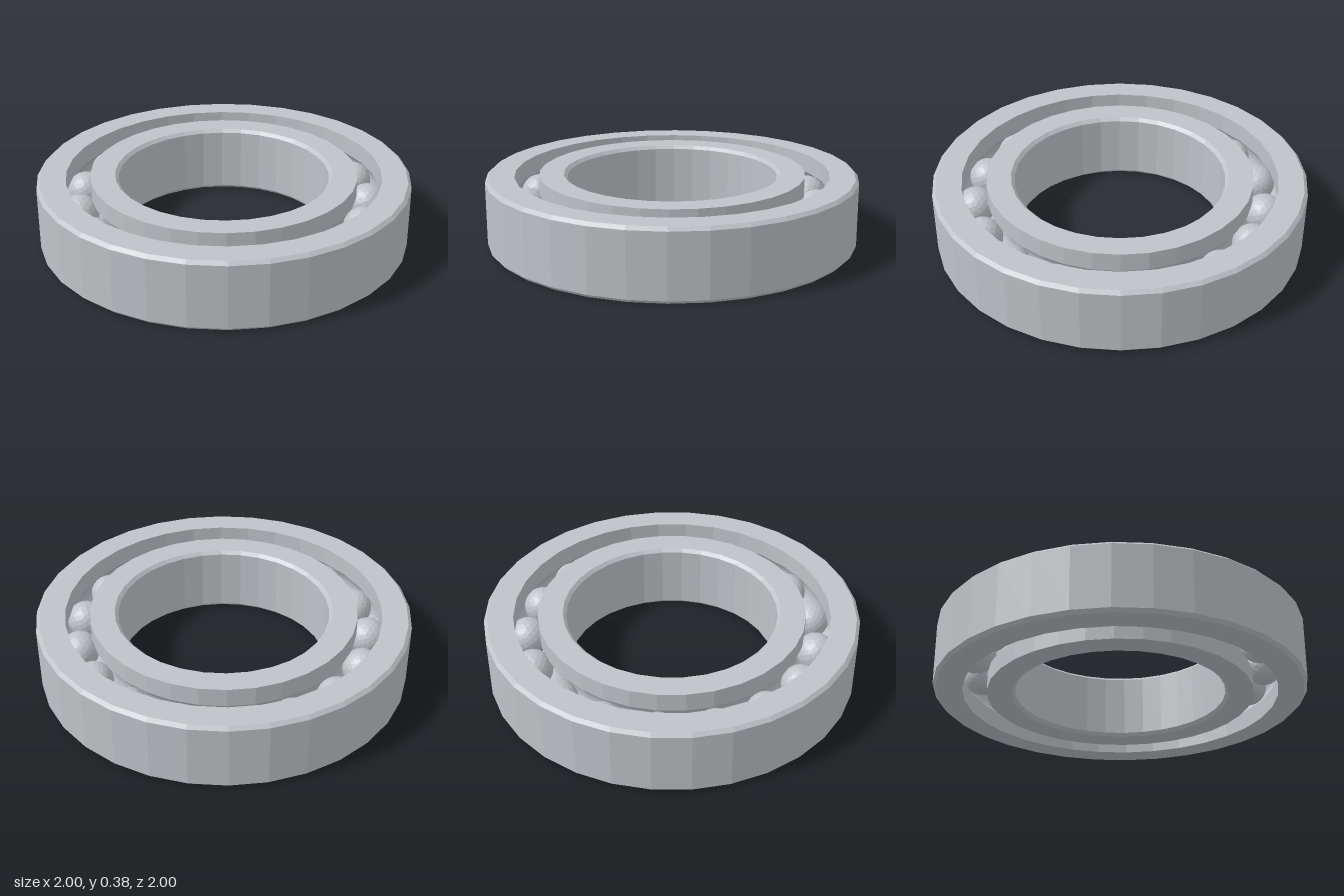
import * as THREE from 'three';

const HEIGHT = 0.375, MID = HEIGHT / 2, CHAMFER = 0.018;
const PITCH = 0.78, GROOVE = 0.108, BALL = 0.104, BALLS = 17, SIDES = 32;

// Gives every facet its own flat normal
function faceted(geometry) {
  const flat = geometry.index ? geometry.toNonIndexed() : geometry;
  flat.computeVertexNormals();
  return flat;
}

// Circular raceway profile between two angles around the ball centre
function raceway(from, to, steps = 8) {
  return Array.from({ length: steps + 1 }, (_, i) => {
    const t = from + (to - from) * i / steps;
    return [PITCH + GROOVE * Math.cos(t), MID + GROOVE * Math.sin(t)];
  });
}

// Closed ring turned from an anticlockwise profile
function ring(name, profile, material) {
  const points = [...profile, profile[0]].map(([x, y]) => new THREE.Vector2(x, y));
  const mesh = new THREE.Mesh(faceted(new THREE.LatheGeometry(points, SIDES)), material);
  mesh.name = name;
  return mesh;
}

export function createModel() {
  const model = new THREE.Group();
  model.name = 'ballBearing';
  const steel = new THREE.MeshStandardMaterial({ color: 0xbfc2c7 });
  steel.name = 'steel';

  const outerWall = 0.845, innerWall = 0.715, bore = 0.565;
  const open = Math.acos((outerWall - PITCH) / GROOVE);

  // Outer ring: chamfered outside, grooved inside
  model.add(ring('outerRing', [
    [1 - CHAMFER, 0], [1, CHAMFER], [1, HEIGHT - CHAMFER], [1 - CHAMFER, HEIGHT],
    [outerWall, HEIGHT], ...raceway(open, -open), [outerWall, 0],
  ], steel));

  // Inner ring: grooved outside, chamfered bore
  model.add(ring('innerRing', [
    [innerWall, 0], ...raceway(Math.PI + open, Math.PI - open), [innerWall, HEIGHT],
    [bore + CHAMFER, HEIGHT], [bore, HEIGHT - CHAMFER], [bore, CHAMFER], [bore + CHAMFER, 0],
  ], steel));

  // Balls spaced evenly between the rings
  const balls = new THREE.Group();
  balls.name = 'balls';
  const ballGeometry = faceted(new THREE.IcosahedronGeometry(BALL, 3));
  for (let i = 0; i < BALLS; i++) {
    const angle = i / BALLS * Math.PI * 2;
    const ball = new THREE.Mesh(ballGeometry, steel);
    ball.name = 'ball';
    ball.position.set(PITCH * Math.cos(angle), MID, PITCH * Math.sin(angle));
    ball.rotation.y = -angle;
    balls.add(ball);
  }
  model.add(balls);
  return model;
}
